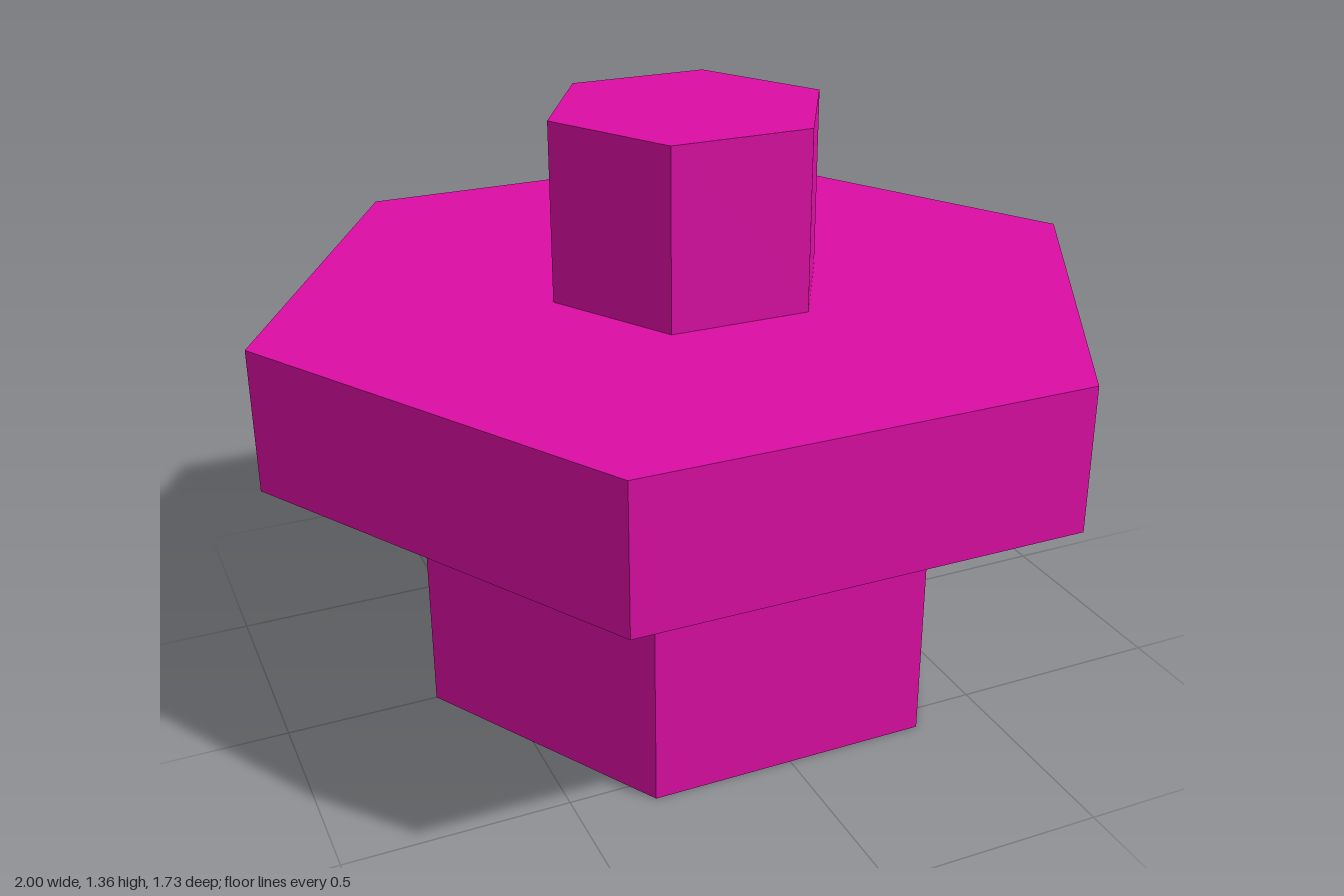
import * as THREE from 'three';

// Regular hexagon outline with corners on the x axis
function hexPoints(radius) {
  return Array.from({ length: 6 }, (_, i) => {
    const a = (i * Math.PI) / 3;
    return new THREE.Vector2(Math.cos(a) * radius, Math.sin(a) * radius);
  });
}

// Upright hexagonal prism, optionally with a hexagonal bore
function hexPrism(name, radius, bottom, top, material, boreRadius = 0) {
  const shape = new THREE.Shape(hexPoints(radius));
  if (boreRadius > 0) shape.holes.push(new THREE.Path(hexPoints(boreRadius).reverse()));
  const geometry = new THREE.ExtrudeGeometry(shape, { depth: top - bottom, bevelEnabled: false });
  geometry.rotateX(-Math.PI / 2).translate(0, bottom, 0);
  const mesh = new THREE.Mesh(geometry, material);
  mesh.name = name;
  return mesh;
}

export function createModel() {
  const magenta = new THREE.MeshStandardMaterial({ color: 0xdc0ea4 });
  magenta.name = 'magenta';

  const model = new THREE.Group();
  model.name = 'hexagonalConnector';
  model.add(
    hexPrism('socketBase', 0.65, 0, 0.623, magenta, 0.39), // hollow from below
    hexPrism('flange', 1, 0.623, 0.95, magenta),
    hexPrism('topStud', 0.325, 0.95, 1.36, magenta)
  );
  return model;
}
